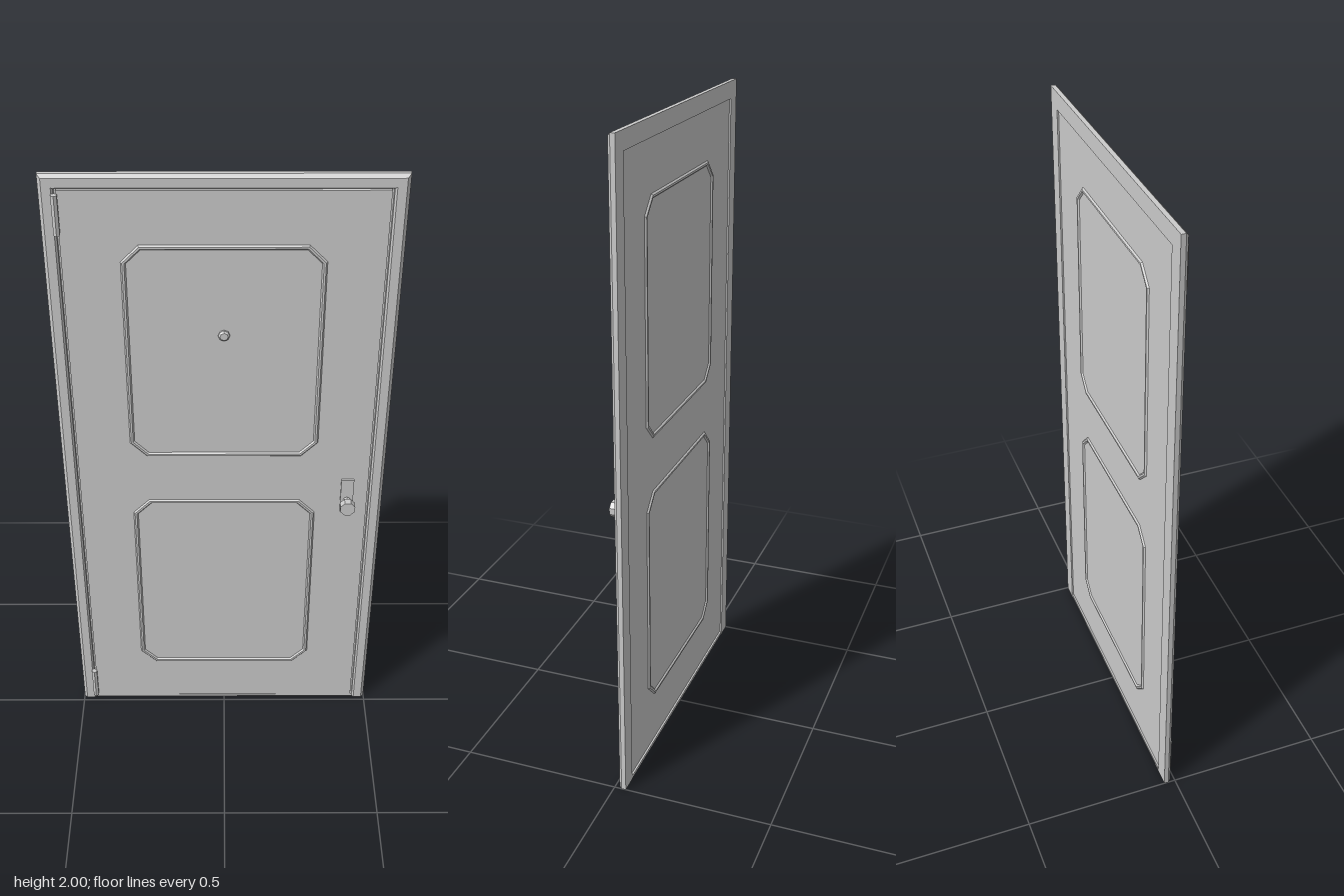
import * as THREE from 'three';

const grey = new THREE.MeshStandardMaterial({ color: 0xcccccc, flatShading: true });
const greyDouble = new THREE.MeshStandardMaterial({ color: 0xcccccc, flatShading: true, side: THREE.DoubleSide });

// Sweeps a closed profile of [inset, z] points along a mitred outline.
// outline(inset) returns the clockwise [x, y] corners at that inset.
function sweep(profile, outline, closed) {
  const pos = [];
  const at = (k, i) => {
    const [u, z] = profile[k % profile.length];
    const ring = outline(u);
    return [...ring[i % ring.length], z];
  };
  const count = outline(0).length;
  for (let i = 0; i < (closed ? count : count - 1); i++) {
    for (let k = 0; k < profile.length; k++) {
      const a = at(k, i), b = at(k + 1, i), c = at(k + 1, i + 1), d = at(k, i + 1);
      pos.push(...a, ...b, ...c, ...a, ...c, ...d);
    }
  }
  if (!closed) {
    const flat = profile.map(([u, z]) => new THREE.Vector2(u, z));
    for (const tri of THREE.ShapeUtils.triangulateShape(flat, [])) {
      for (const i of [0, count - 1]) for (const k of tri) pos.push(...at(k, i));
    }
  }
  const geo = new THREE.BufferGeometry();
  geo.setAttribute('position', new THREE.Float32BufferAttribute(pos, 3));
  geo.computeVertexNormals();
  return geo;
}

function add(parent, name, geo, x = 0, y = 0, z = 0, mat = grey) {
  const mesh = new THREE.Mesh(geo, mat);
  mesh.name = name;
  mesh.position.set(x, y, z);
  parent.add(mesh);
  return mesh;
}

// Cylinder whose axis runs along z
const disc = (front, back, depth, sides) =>
  new THREE.CylinderGeometry(front, back, depth, sides).rotateX(Math.PI / 2);

export function createModel() {
  const model = new THREE.Group();
  model.name = 'panelDoor';

  // Frame: bevelled jambs and head with a door stop at the back
  const frameOutline = u => [[-0.5 + u, 0], [-0.5 + u, 2 - u], [0.5 - u, 2 - u], [0.5 - u, 0]];
  const frameProfile = [
    [0, -0.037], [0, -0.023], [0.01, -0.013], [0.036, -0.013], [0.042, -0.018],
    [0.042, -0.032], [0.054, -0.032], [0.054, -0.037],
  ];
  add(model, 'frame', sweep(frameProfile, frameOutline, false), 0, 0, 0, greyDouble);
  add(model, 'threshold', new THREE.BoxGeometry(0.916, 0.01, 0.018), 0, 0.005, -0.027);

  // Door leaf
  const front = -0.017, back = -0.031;
  const leaf = new THREE.Group();
  leaf.name = 'leaf';
  model.add(leaf);
  add(leaf, 'doorSlab', new THREE.BoxGeometry(0.904, 1.942, front - back), 0, 0.983, (front + back) / 2);

  // Octagonal ridge mouldings on both faces
  const octagon = u => {
    const w = 0.29 - u, h = 0.362 - u, c = 0.052 - 0.586 * u;
    return [[-w, -h + c], [-w, h - c], [-w + c, h], [w - c, h],
      [w, h - c], [w, -h + c], [w - c, -h], [-w + c, -h]];
  };
  const ridge = sweep([[0, -0.002], [0.006, 0.005], [0.012, 0.005], [0.018, -0.002]], octagon, true);
  for (const y of [1.432, 0.54]) {
    add(leaf, 'frontMoulding', ridge, 0, y, front);
    add(leaf, 'backMoulding', ridge, 0, y, back).rotation.y = Math.PI;
  }

  // Peephole
  add(leaf, 'peephole', disc(0.017, 0.017, 0.007, 8), 0, 1.505, -0.0145);
  add(leaf, 'peepholeRim', disc(0.017, 0.012, 0.005, 8).rotateY(Math.PI), 0, 1.505, -0.0085);

  // Lock plate, knob and its stem
  add(leaf, 'lockPlate', new THREE.BoxGeometry(0.04, 0.125, 0.007), 0.388, 0.918, -0.0145);
  add(leaf, 'knobStem', disc(0.012, 0.012, 0.03, 8), 0.388, 0.902, 0.001);
  add(leaf, 'knob', disc(0.025, 0.025, 0.023, 8).rotateZ(Math.PI / 8), 0.388, 0.902, 0.0255);

  // Hinge barrels
  for (const y of [1.887, 0.083]) {
    add(model, 'hinge', new THREE.CylinderGeometry(0.01, 0.01, 0.118, 6), -0.456, y, -0.006);
  }
  return model;
}
